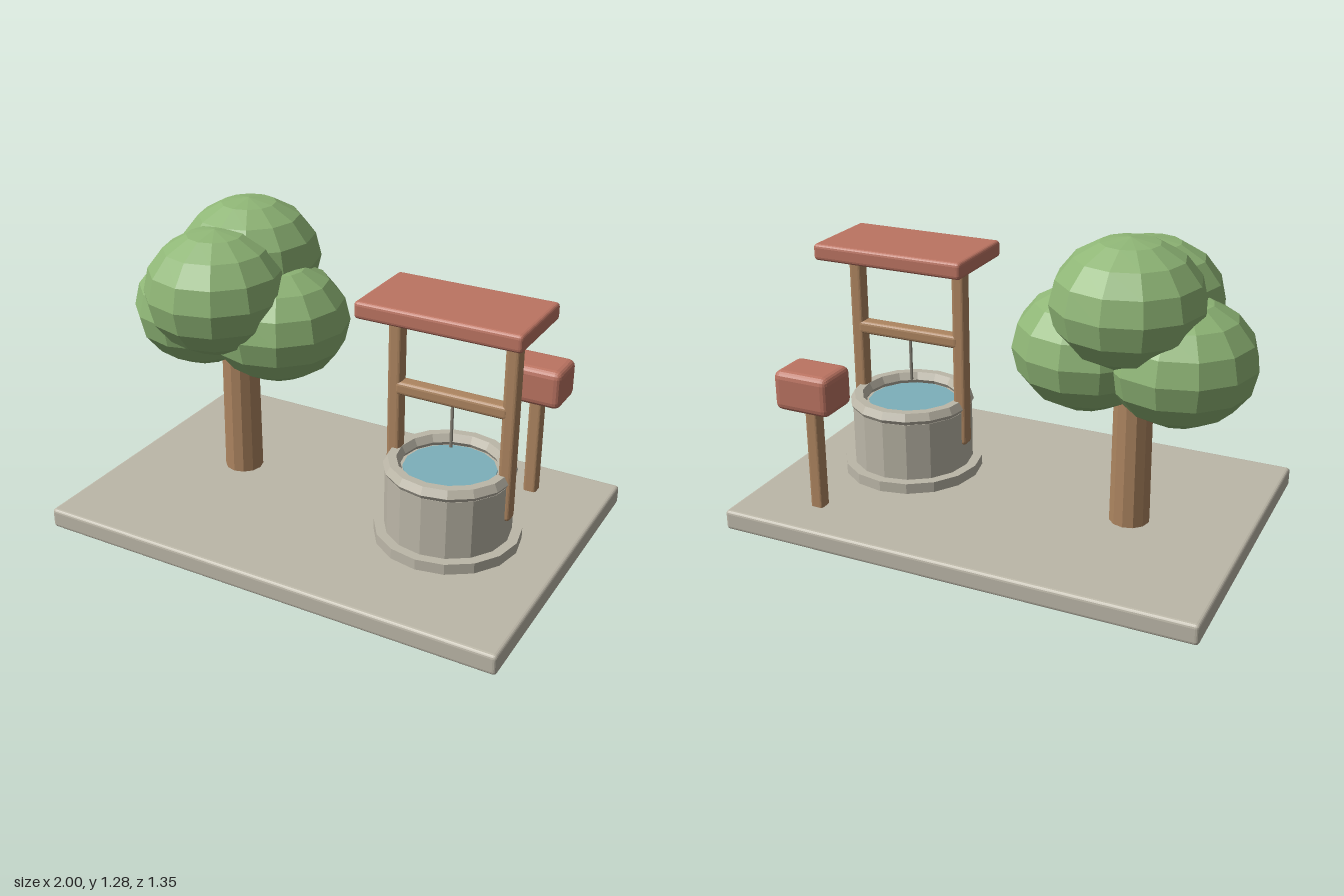
import * as THREE from 'three';
import { RoundedBoxGeometry } from 'three/addons/geometries/RoundedBoxGeometry.js';

const mat = (name, color) => {
  const m = new THREE.MeshStandardMaterial({ color, flatShading: true });
  m.name = name;
  return m;
};

export function createModel() {
  const stone = mat('stone', 0xbcb7a8);
  const wood = mat('wood', 0xad8560);
  const leaves = mat('leaves', 0x8fb676);
  const clay = mat('clay red', 0xbc7462);
  const water = mat('water', 0x7db0ba);
  const rope = mat('rope', 0x8c887c);

  const root = new THREE.Group();
  root.name = 'gardenScene';

  const group = (name, x, z) => {
    const g = new THREE.Group();
    g.name = name;
    g.position.set(x, 0, z);
    root.add(g);
    return g;
  };
  const add = (parent, name, geo, material, x = 0, y = 0, z = 0) => {
    const m = new THREE.Mesh(geo, material);
    m.name = name;
    m.position.set(x, y, z);
    parent.add(m);
    return m;
  };
  const block = (w, h, d, r) => new RoundedBoxGeometry(w, h, d, 2, r);
  // cylinder centred between two heights
  const drum = (parent, name, material, rTop, rBottom, y0, y1, sides) =>
    add(parent, name, new THREE.CylinderGeometry(rTop, rBottom, y1 - y0, sides), material, 0, (y0 + y1) / 2);

  // ground slab
  add(root, 'groundSlab', block(2, 0.085, 1.35, 0.015), stone, 0, 0.0425, 0);

  // tree: trunk and four overlapping squashed crowns
  const tree = group('tree', -0.517, -0.05);
  drum(tree, 'trunk', wood, 0.077, 0.083, 0.005, 0.75, 12);
  const crown = new THREE.SphereGeometry(1, 12, 8);
  const crowns = [
    [-0.186, 0.805, -0.017],
    [0.186, 0.808, -0.017],
    [0, 0.96, 0.152],
    [0, 1.033, -0.1],
  ];
  crowns.forEach(([x, y, z], i) =>
    add(tree, `crown${i + 1}`, crown, leaves, x, y, z).scale.set(0.297, i === 2 ? 0.258 : 0.249, 0.3));

  // well: footing, wall, rim and water
  const well = group('well', 0.513, 0.034);
  drum(well, 'wellFooting', stone, 0.298, 0.298, 0.08, 0.13, 16);
  drum(well, 'wellWall', stone, 0.257, 0.257, 0.12, 0.38, 16);
  add(well, 'wellRim', new THREE.TorusGeometry(0.23, 0.035, 6, 16), stone, 0, 0.397, 0).rotation.x = Math.PI / 2;
  drum(well, 'waterSurface', water, 0.187, 0.187, 0.38, 0.388, 16);

  // well frame: posts, crossbar, rope and roof
  for (const [side, name] of [[1, 'leftPost'], [-1, 'rightPost']])
    add(well, name, block(0.058, 0.82, 0.06, 0.015), wood, side * 0.241, 0.64, 0);
  add(well, 'crossbar', block(0.475, 0.056, 0.064, 0.015), wood, 0, 0.692, 0);
  drum(well, 'rope', rope, 0.007, 0.007, 0.48, 0.68, 8);
  add(well, 'roof', block(0.672, 0.07, 0.374, 0.016), clay, 0, 1.054, 0);

  // box on a post behind the well
  const postBox = group('postBox', 0.677, -0.465);
  add(postBox, 'boxPost', block(0.056, 0.5, 0.058, 0.012), wood, 0, 0.3, 0);
  add(postBox, 'box', block(0.247, 0.166, 0.188, 0.03), clay, 0, 0.605, 0);

  return root;
}
